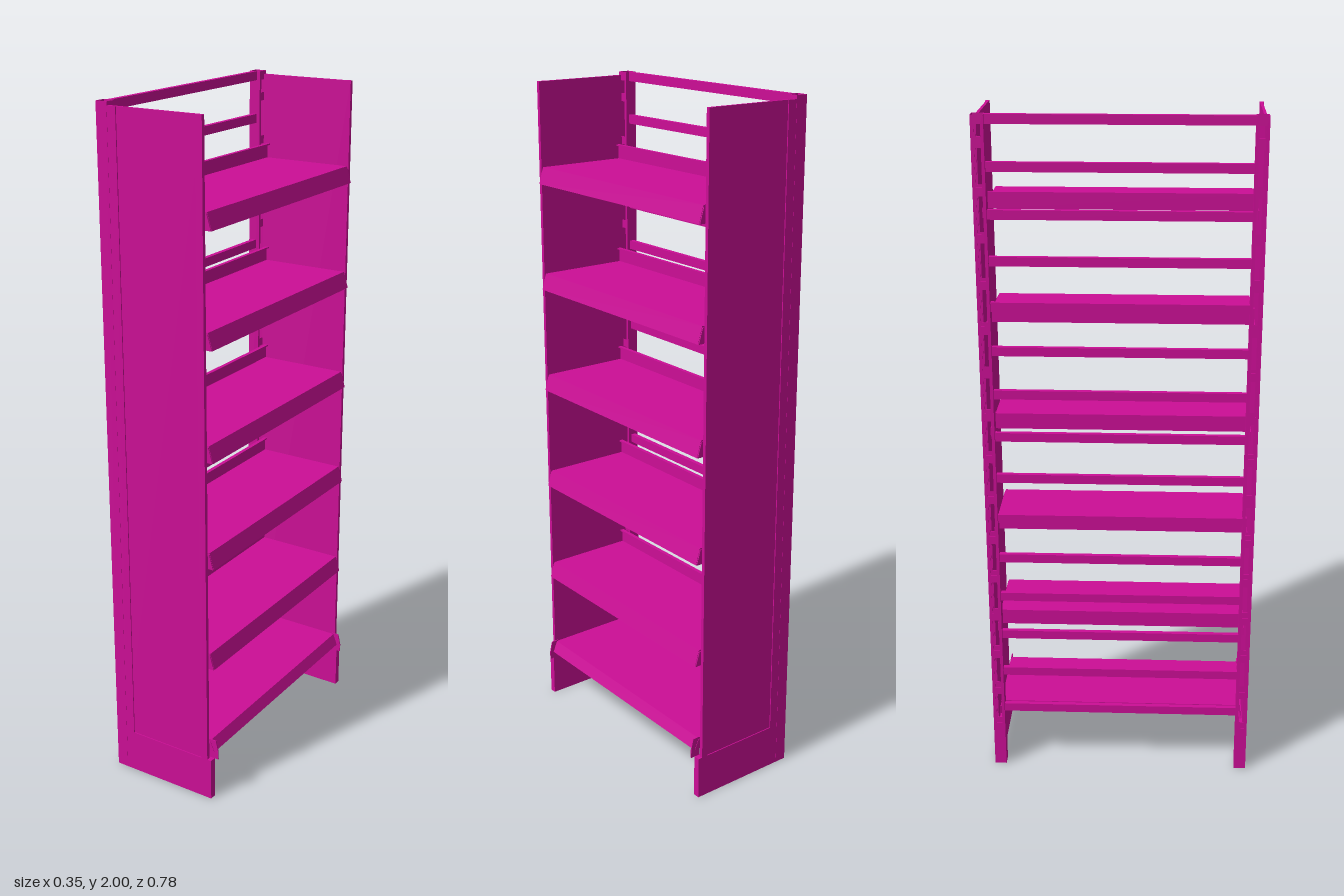
import * as THREE from 'three';

const material = new THREE.MeshStandardMaterial({ color: 0xcc0e96 });

const POST_X = -0.16;   // centre of the uprights
const POST_Z = 0.3725;
const POST_W = 0.035;
const WALL = 0.002;
const PITCH = 0.128;    // spacing of the slots and back rails
const FIRST_RAIL = 0.198;

function add(parent, name, geometry, x = 0, y = 0, z = 0) {
  const mesh = new THREE.Mesh(geometry, material);
  mesh.name = name;
  mesh.position.set(x, y, z);
  parent.add(mesh);
  return mesh;
}

// Box given by its limits on each axis
function block(parent, name, x0, x1, y0, y1, z0, z1) {
  const geometry = new THREE.BoxGeometry(x1 - x0, y1 - y0, Math.abs(z1 - z0));
  return add(parent, name, geometry, (x0 + x1) / 2, (y0 + y1) / 2, (z0 + z1) / 2);
}

// Closed x-y outline swept along z, centred on z
function sweep(parent, name, points, length, z = 0) {
  const shape = new THREE.Shape(points.map(([x, y]) => new THREE.Vector2(x, y)));
  const geometry = new THREE.ExtrudeGeometry(shape, { depth: length, bevelEnabled: false });
  geometry.translate(0, 0, -length / 2);
  return add(parent, name, geometry, 0, 0, z);
}

// Slotted face of an upright
function slottedWall() {
  const h = POST_W / 2;
  const shape = new THREE.Shape();
  shape.moveTo(-h, 0).lineTo(h, 0).lineTo(h, 2).lineTo(-h, 2).closePath();
  for (let i = 0; i < 15; i++) {
    const y = FIRST_RAIL + i * PITCH;
    const bottom = y - 0.052, top = Math.min(y + 0.052, 1.975);
    const hole = new THREE.Path();
    hole.moveTo(-0.009, bottom).lineTo(-0.009, top).lineTo(0.009, top).lineTo(0.009, bottom).closePath();
    shape.holes.push(hole);
  }
  const geometry = new THREE.ExtrudeGeometry(shape, { depth: WALL, bevelEnabled: false });
  geometry.translate(0, 0, -WALL / 2);
  return geometry.rotateY(Math.PI / 2);
}

// Hollow square upright, open at both ends
function buildPost(side) {
  const post = new THREE.Group();
  post.name = side > 0 ? 'frontUpright' : 'rearUpright';
  const inset = (POST_W - WALL) / 2;
  for (const s of [-1, 1]) {
    add(post, 'slottedWall', slottedWall(), s * inset, 0, 0);
    add(post, 'plainWall', new THREE.BoxGeometry(POST_W - 2 * WALL, 2, WALL), 0, 1, s * inset);
  }
  post.position.set(POST_X, 0, side * POST_Z);
  return post;
}

// End panel with a raised border and a plinth
function buildEndPanel(side) {
  const panel = new THREE.Group();
  panel.name = side > 0 ? 'frontEndPanel' : 'rearEndPanel';
  const inner = side * 0.379, face = side * 0.387, outer = side * 0.39;
  block(panel, 'panelSheet', -0.142, 0.15, 0.125, 1.99, inner, face);
  block(panel, 'panelBackBorder', -0.142, -0.115, 0.125, 1.99, face, outer);
  block(panel, 'panelFrontBorder', 0.13, 0.15, 0.125, 1.99, face, outer);
  block(panel, 'plinth', -0.142, 0.163, 0, 0.13, side * 0.37, outer);
  // small locating tab above the plinth
  sweep(panel, 'plinthTab', [[0.145, 0.13], [0.176, 0.13], [0.176, 0.155], [0.168, 0.19], [0.145, 0.19]],
    0.003, side * 0.37);
  return panel;
}

// Folded shelf: sloping front lip, flat deck, back upstand and end brackets
function buildShelf(top, back, upstand, lip) {
  const shelf = new THREE.Group();
  shelf.name = 'shelf';
  const t = 0.004;
  sweep(shelf, 'shelfTray', [
    [0.150, top], [0.164, top - lip], [0.160, top - lip], [0.147, top - t],
    [back, top - t], [back, top + upstand], [back + 0.012, top + upstand],
    [back + 0.012, top + upstand - t], [back + t, top + upstand - t], [back + t, top],
  ], 0.74);
  for (const side of [-1, 1]) {
    sweep(shelf, 'shelfBracket', [
      [back, top - 0.03], [0.147, top - lip], [0.163, top - lip], [0.15, top - t], [back, top - t],
    ], 0.003, side * 0.3715);
  }
  return shelf;
}

export function createModel() {
  const model = new THREE.Group();
  model.name = 'shelvingRack';

  for (const side of [-1, 1]) model.add(buildPost(side), buildEndPanel(side));

  // Horizontal rails between the uprights
  for (let i = 0; i < 15; i++) {
    const y = Math.min(FIRST_RAIL + i * PITCH, 1.987);
    add(model, 'backRail', new THREE.BoxGeometry(0.014, 0.026, 0.712), POST_X, y, 0);
  }

  // Base shelf and five upper shelves
  model.add(buildShelf(0.187, -0.14, 0.018, 0.035));
  for (let i = 0; i < 5; i++) model.add(buildShelf(0.474 + i * 0.318, -0.127, 0.042, 0.048));

  return model;
}
